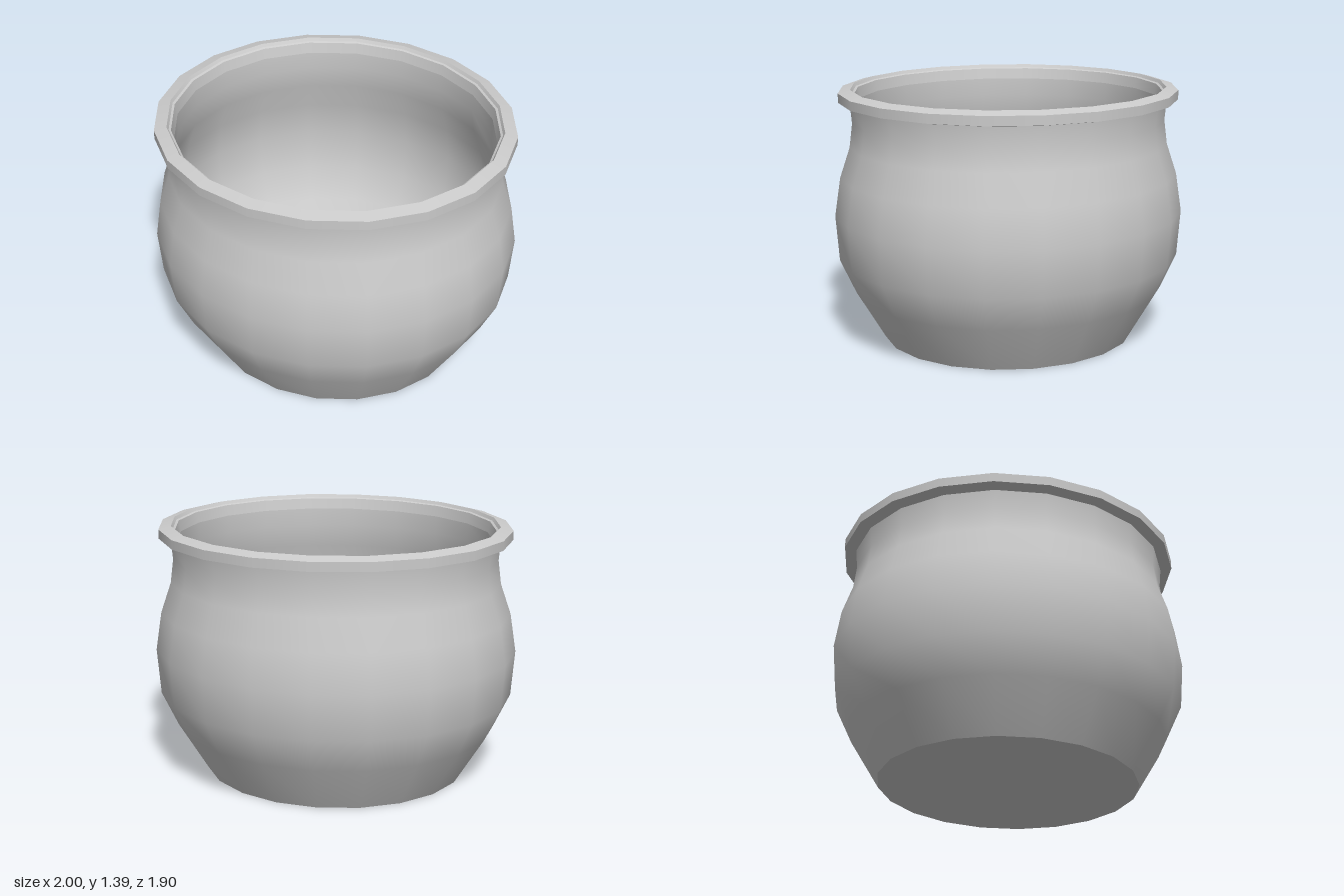
import * as THREE from 'three';

const SIDES = 20;

// Slightly oval footprint: narrower in z, with a small skew
const OVAL = new THREE.Matrix4().set(
  1.005, 0, -0.013, 0,
  0, 1, 0, 0,
  -0.013, 0, 0.953, 0,
  0, 0, 0, 1
);

export function createModel() {
  const pot = new THREE.Group();
  pot.name = 'pot';
  const material = new THREE.MeshStandardMaterial({ color: 0xcccccc, side: THREE.DoubleSide });

  // One smooth band turned from [radius, height] points
  function band(name, points, parent = pot) {
    const profile = points.map(([r, y]) => new THREE.Vector2(r, y));
    const geometry = new THREE.LatheGeometry(profile, SIDES, THREE.MathUtils.degToRad(12.5));
    geometry.applyMatrix4(OVAL);
    const mesh = new THREE.Mesh(geometry, material);
    mesh.name = name;
    parent.add(mesh);
  }

  // Underside and outer wall
  band('base', [[0, 0], [0.727, 0]]);
  band('outerWall', [
    [0.727, 0], [0.89, 0.265], [0.98, 0.455], [1, 0.705],
    [0.967, 0.915], [0.91, 1.08], [0.893, 1.21], [0.903, 1.315],
  ]);

  // Rim: one band per face so that its edges stay sharp
  const rim = new THREE.Group();
  rim.name = 'rim';
  pot.add(rim);
  const rimProfile = [
    [0.9, 1.312], [0.968, 1.325], [0.968, 1.375], [0.9, 1.392],
    [0.89, 1.375], [0.878, 1.37], [0.866, 1.31],
  ];
  for (let i = 0; i < rimProfile.length - 1; i++) {
    band('rimFace' + (i + 1), [rimProfile[i], rimProfile[i + 1]], rim);
  }

  // Inner wall and floor
  band('innerWall', [
    [0.866, 1.31], [0.866, 1.21], [0.884, 1.08], [0.94, 0.915],
    [0.973, 0.705], [0.953, 0.46], [0.863, 0.275], [0.705, 0.025],
  ]);
  band('floor', [[0.705, 0.025], [0, 0.025]]);

  return pot;
}
